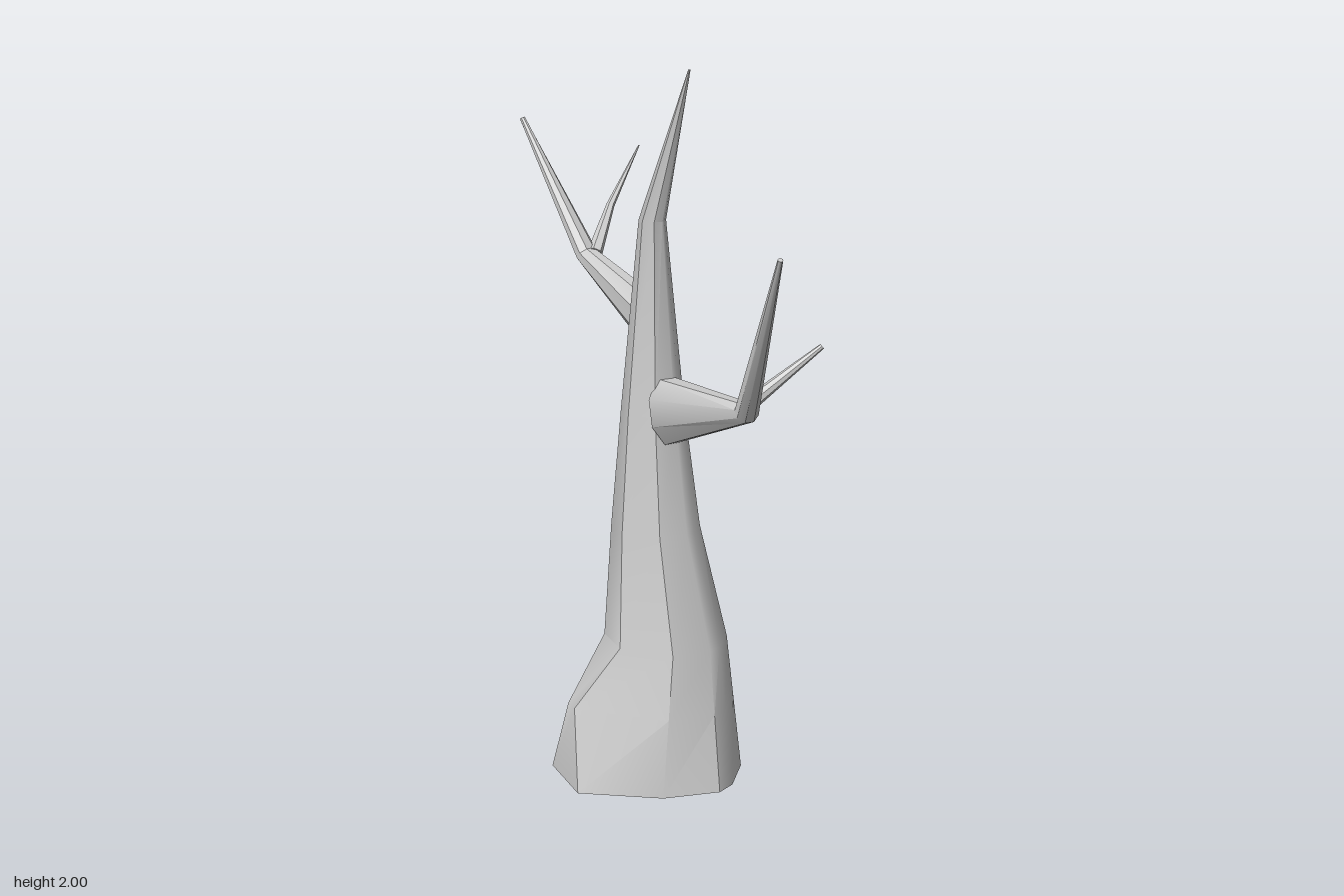
import * as THREE from 'three';
import { toCreasedNormals } from 'three/addons/utils/BufferGeometryUtils.js';

const V = (x, y, z) => new THREE.Vector3(x, y, z);
const bark = new THREE.MeshStandardMaterial({ color: 0xcccccc, side: THREE.DoubleSide });

// Skin a list of equal-sized rings, optionally closing either end
function loft(name, rings, capStart, capEnd) {
  const n = rings[0].length;
  const index = [];
  const points = rings.flat();
  for (let r = 0; r < rings.length - 1; r++) {
    for (let i = 0; i < n; i++) {
      const j = (i + 1) % n;
      const a = r * n + i, b = r * n + j, c = a + n, d = b + n;
      index.push(a, c, b, b, c, d);
    }
  }
  const last = (rings.length - 1) * n;
  for (let i = 1; i < n - 1; i++) {
    if (capStart) index.push(0, i, i + 1);
    if (capEnd) index.push(last, last + i + 1, last + i);
  }
  const geometry = new THREE.BufferGeometry().setFromPoints(points);
  geometry.setIndex(index);
  const mesh = new THREE.Mesh(toCreasedNormals(geometry, 0.6), bark);
  mesh.name = name;
  return mesh;
}

// Tapered limb along a bent path; each radius is [sideways, upright]
function limb(name, path, radii, sides = 8) {
  const up = V(0, 1, 0);
  const rings = path.map((p, k) => {
    const t = V(0, 0, 0);
    if (k > 0) t.add(p.clone().sub(path[k - 1]).normalize());
    if (k < path.length - 1) t.add(path[k + 1].clone().sub(p).normalize());
    t.normalize();
    const side = t.clone().cross(up).normalize();
    const rise = side.clone().cross(t);
    return Array.from({ length: sides }, (_, i) => {
      const a = ((i + 0.5) / sides) * Math.PI * 2;
      return p.clone()
        .addScaledVector(side, Math.cos(a) * radii[k][0])
        .addScaledVector(rise, Math.sin(a) * radii[k][1]);
    });
  });
  return loft(name, rings, true, true);
}

function makeTrunk() {
  // Irregular foot outline, x and z
  const foot = [
    [0.18, -0.08], [0.13, 0.08], [0.03, 0.17], [-0.03, 0.19], [-0.18, 0.13], [-0.35, -0.04],
    [-0.30, -0.24], [-0.18, -0.29], [-0.08, -0.315], [0.06, -0.29], [0.15, -0.20],
  ].map(([x, z]) => V(x, 0, z));
  const angles = foot.map((p) => Math.atan2(p.z + 0.06, p.x + 0.06));
  // Upper rings: height, x range, z range
  const upper = [
    [0.40, -0.21, 0.12, -0.225, 0.14],
    [0.72, -0.18, 0.06, -0.195, 0.06],
    [1.05, -0.148, 0.025, -0.165, 0.012],
    [1.58, -0.10, -0.03, -0.11, -0.03],
    [2.00, -0.068, -0.062, 0.092, 0.098],
  ].map(([y, x0, x1, z0, z1]) => angles.map((a) => V(
    (x0 + x1) / 2 + Math.cos(a) * (x1 - x0) / 2, y,
    (z0 + z1) / 2 + Math.sin(a) * (z1 - z0) / 2,
  )));
  // Root flare pinched into a ridge on one side
  const flare = foot.map((p, i) => p.clone().lerp(upper[0][i], 0.55));
  flare[5].set(-0.31, 0.22, -0.11);
  flare[6].set(-0.30, 0.22, -0.155);
  return loft('trunk', [foot, flare, ...upper], false, true);
}

export function createModel() {
  const tree = new THREE.Group();
  tree.name = 'bareTree';
  tree.add(
    makeTrunk(),
    limb('frontBranch',
      [V(-0.065, 1.065, 0), V(-0.09, 1.15, 0.375), V(-0.2, 1.615, 0.643)],
      [[0.062, 0.098], [0.034, 0.03], [0.007, 0.007]]),
    limb('backBranch',
      [V(-0.055, 1.3, -0.1), V(-0.038, 1.42, -0.42), V(-0.1, 1.78, -0.642)],
      [[0.048, 0.07], [0.033, 0.027], [0.008, 0.008]]),
    limb('backTwig',
      [V(-0.025, 1.425, -0.4), V(0.1, 1.53, -0.5), V(0.254, 1.675, -0.574)],
      [[0.022, 0.02], [0.012, 0.011], [0.002, 0.002]], 6),
    limb('leftBranch',
      [V(0, 1.015, -0.035), V(0.14, 1.045, 0.06), V(0.34, 1.215, 0.16)],
      [[0.05, 0.022], [0.033, 0.023], [0.008, 0.008]]),
  );
  return tree;
}
